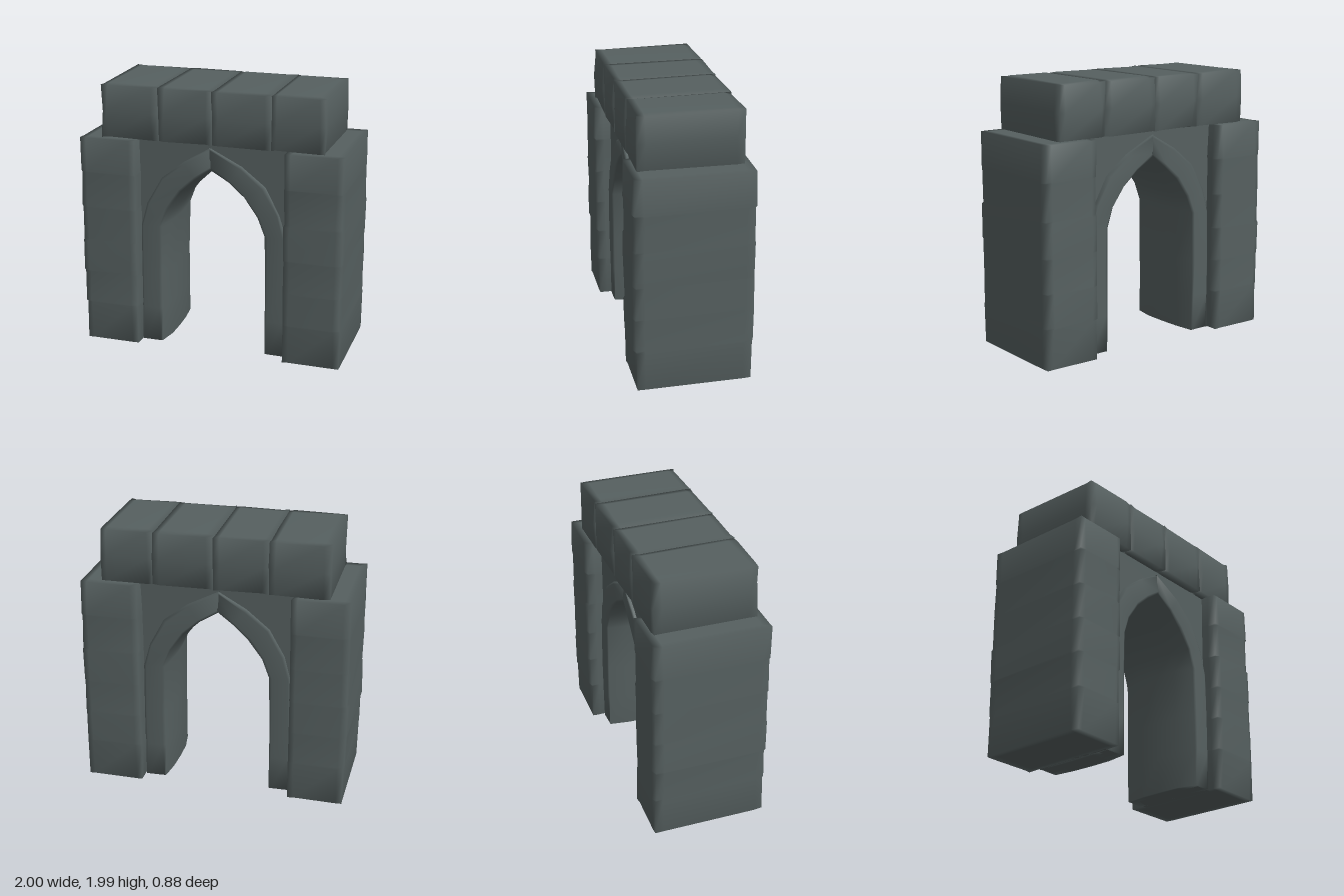
import * as THREE from 'three';
import { mergeVertices } from 'three/addons/utils/BufferGeometryUtils.js';

// half outline of the opening, from the ground to the apex, and of the arch ring around it
const INNER = [[0.37, 0], [0.37, 0.27], [0.37, 0.55], [0.365, 0.93], [0.31, 1.06], [0.21, 1.19], [0.11, 1.285], [-0.015, 1.37]];
const OUTER = [[0.56, 0], [0.56, 0.27], [0.56, 0.55], [0.555, 0.92], [0.505, 1.1], [0.395, 1.3], [0.22, 1.44], [-0.015, 1.56]];
const COURSES = [0, 0.3, 0.55, 0.8, 1.06, 1.33, 1.59];
const JOINTS = [-0.83, -0.39, 0.01, 0.45, 0.84];

export function createModel() {
  const group = new THREE.Group();
  const stone = new THREE.MeshStandardMaterial({ color: 0x566060 });
  stone.name = 'grey stone';

  let seed = 11;
  const rand = () => {
    seed = (seed * 16807) % 2147483647;
    return seed / 2147483647 - 0.5;
  };

  const add = (geometry, name, parent = group) => {
    const mesh = new THREE.Mesh(geometry, stone);
    mesh.name = name;
    parent.add(mesh);
  };

  // worn block with softened edges, placed by a mapping from a unit box to space
  const hewn = (rows, layers, rough, map) => {
    let g = new THREE.BoxGeometry(1, 1, 1, 3, rows, layers);
    g.deleteAttribute('uv');
    g.deleteAttribute('normal');
    g = mergeVertices(g);
    const p = g.attributes.position;
    const v = new THREE.Vector3();
    for (let i = 0; i < p.count; i++) {
      v.fromBufferAttribute(p, i);
      const ends = ['x', 'y', 'z'].filter((k) => Math.abs(v[k]) > 0.49);
      if (ends.length > 1) ends.forEach((k) => { v[k] *= 0.97; });
      // loops close to the edges keep the faces flat
      if (Math.abs(v.x) < 0.2) v.x *= 2.3;
      if (layers === 3 && Math.abs(v.z) < 0.2) v.z *= 2.5;
      map(v);
      v.x += rand() * rough;
      if (v.y > 0.01) v.y += rand() * rough * 0.6;
      v.z += rand() * rough;
      p.setXYZ(i, v.x, Math.max(0, v.y), v.z);
    }
    g.computeVertexNormals();
    return g;
  };

  // side pillars: each course has a lower and an upper row, set in or out a little
  const pillarRows = (COURSES.length - 1) * 2 - 1;
  for (const side of [-1, 1]) {
    const steps = COURSES.map(() => [rand() * 0.014, rand() * 0.012]);
    const pillar = hewn(pillarRows, 3, 0.009, (v) => {
      const row = Math.round((v.y + 0.5) * pillarRows);
      const course = Math.floor(row / 2);
      const [outward, deeper] = steps[course];
      const y = row % 2 ? COURSES[course + 1] - 0.006 : COURSES[course] + 0.006;
      const reach = side * v.x + 0.5;
      v.set(
        side * (0.558 + reach * (0.43 + outward)),
        row === 0 ? 0 : row === pillarRows ? 1.588 : y,
        v.z * 2 * (0.43 + deeper));
    });
    add(pillar, side > 0 ? 'leftPillar' : 'rightPillar');
  }

  // lintel blocks across the top
  const lintel = new THREE.Group();
  lintel.name = 'lintel';
  group.add(lintel);
  for (let i = 0; i < JOINTS.length - 1; i++) {
    const x0 = JOINTS[i] - (i > 0 ? 0.006 : 0);
    const x1 = JOINTS[i + 1] + (i < 3 ? 0.006 : 0);
    const depth = 0.382 + rand() * 0.008;
    add(hewn(2, 3, 0.014, (v) => v.set(
      x0 + (x1 - x0) * (v.x + 0.5), 1.588 + 0.398 * (v.y + 0.5), v.z * 2 * depth)), 'lintelBlock', lintel);
  }

  // wall filling the space between arch ring, pillars and lintel
  const edge = INNER.map(([x, y], i) => [x + (OUTER[i][0] - x) * 0.4, y + (OUTER[i][1] - y) * 0.4]);
  const wall = new THREE.Shape();
  wall.moveTo(0.6, 0);
  wall.lineTo(0.6, 1.62);
  wall.lineTo(-0.6, 1.62);
  wall.lineTo(-0.6, 0);
  edge.slice(0, -1).forEach(([x, y]) => wall.lineTo(-x, y));
  edge.reverse().forEach(([x, y]) => wall.lineTo(x, y));
  const wallGeometry = new THREE.ExtrudeGeometry(wall, { depth: 0.61, bevelEnabled: false });
  wallGeometry.translate(0, 0, -0.305);
  add(wallGeometry, 'archWall');

  // pointed arch ring: two halves, the inner side swelling towards mid-depth
  const arch = new THREE.Group();
  arch.name = 'archRing';
  group.add(arch);
  const last = INNER.length - 1;
  for (const side of [-1, 1]) {
    add(hewn(last, 4, 0.008, (v) => {
      const row = Math.round((v.y + 0.5) * last);
      const mirror = row === last ? 1 : side;
      const across = side * v.x + 0.5;
      const u = across + (1 - across) * 0.17 * (2 * v.z) ** 2;
      const [a, b] = [INNER[row], OUTER[row]];
      v.set(mirror * (a[0] + (b[0] - a[0]) * u) - (row === last ? side * 0.004 : 0), a[1] + (b[1] - a[1]) * u, v.z * 0.66);
    }), 'archHalf', arch);
  }
  return group;
}
